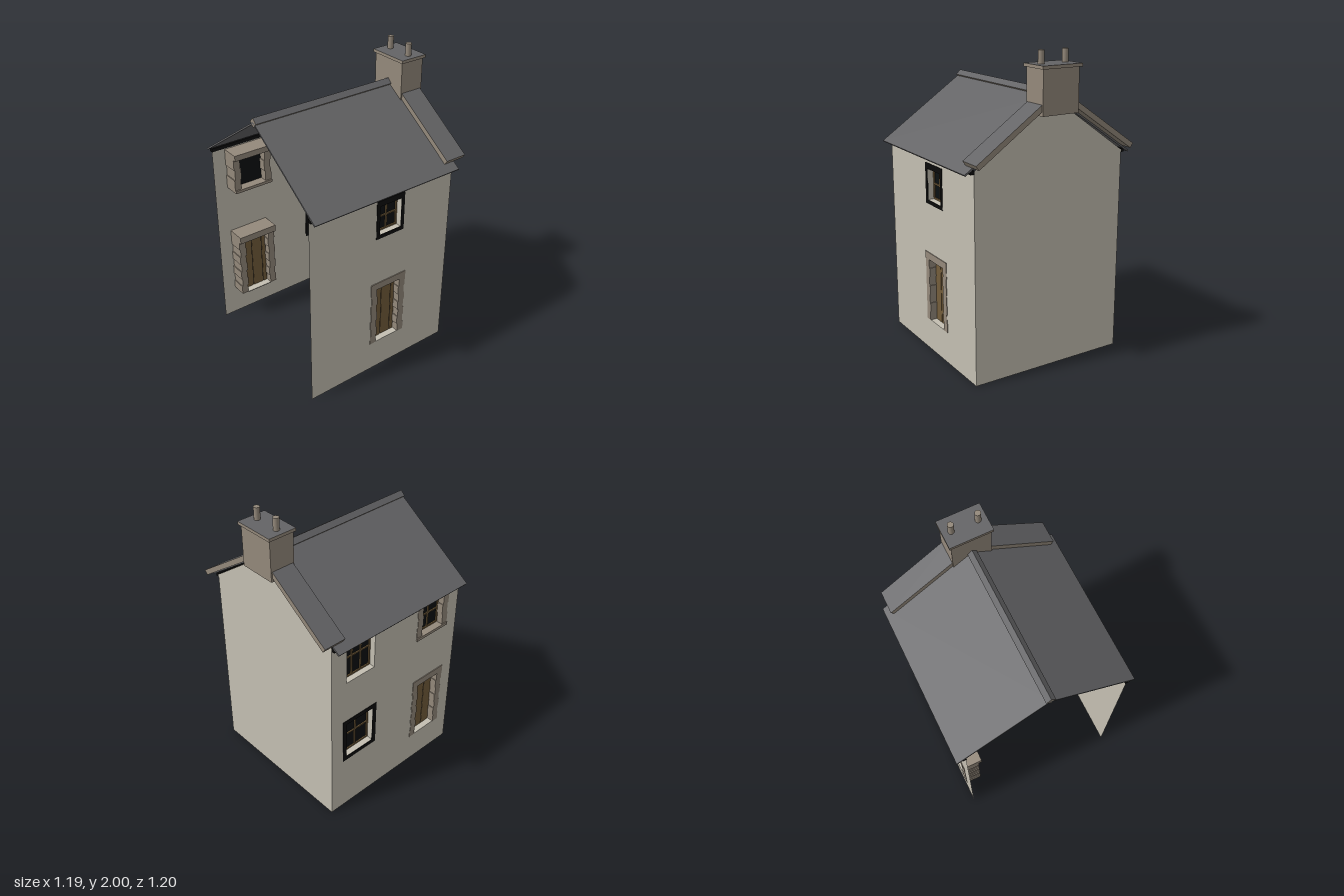
import * as THREE from 'three';

const mat = (name, color, side = THREE.FrontSide) => {
  const m = new THREE.MeshStandardMaterial({ color, side });
  m.name = name;
  return m;
};

export function createModel() {
  const render = mat('render', 0xc4bfb2, THREE.DoubleSide);
  const stone = mat('stone', 0x94897b);
  const slate = mat('slate', 0x646466);
  const wood = mat('wood', 0x735d3b);
  const black = mat('black', 0x0b0b0b);
  const glass = mat('glass', 0x0b1012);
  // box faces: +x -x +y -y +z -z
  const slateTopped = [stone, stone, slate, stone, stone, stone];

  const house = new THREE.Group();
  house.name = 'house';
  const X = 0.535;

  const add = (parent, name, geo, material) => {
    const m = new THREE.Mesh(geo, material);
    m.name = name;
    parent.add(m);
    return m;
  };
  // box given by its limits
  const box = (parent, name, [x0, x1], [y0, y1], [z0, z1], material) => {
    const m = add(parent, name, new THREE.BoxGeometry(Math.abs(x1 - x0), y1 - y0, z1 - z0), material);
    m.position.set((x0 + x1) / 2, (y0 + y1) / 2, (z0 + z1) / 2);
    return m;
  };
  const group = name => {
    const g = new THREE.Group();
    g.name = name;
    house.add(g);
    return g;
  };
  const rect = (path, [z0, z1], [y0, y1]) => {
    path.moveTo(z0, y0); path.lineTo(z1, y0); path.lineTo(z1, y1); path.lineTo(z0, y1); path.closePath();
    return path;
  };

  // side wall sheet with holes for its openings
  const sideWall = (s, openings) => {
    const shape = rect(new THREE.Shape(), [-0.5, 0.6], [0, 1.35]);
    for (const [z, y] of openings) shape.holes.push(rect(new THREE.Path(), z, y));
    const m = add(house, s > 0 ? 'leftWall' : 'rightWall', new THREE.ShapeGeometry(shape), render);
    m.rotation.y = -Math.PI / 2;
    m.position.x = s * X;
  };

  // glazing with a grid of bars, set back in the wall
  const glazing = (g, s, z, y, cols, rows) => {
    box(g, 'pane', [s * 0.484, s * 0.488], y, z, glass);
    const t = 0.005, bar = [s * 0.488, s * 0.496];
    for (let i = 0; i <= cols; i++) {
      const c = z[0] + t + (z[1] - z[0] - 2 * t) * i / cols;
      box(g, 'verticalBar', bar, y, [c - t, c + t], wood);
    }
    for (let i = 0; i <= rows; i++) {
      const c = y[0] + t + (y[1] - y[0] - 2 * t) * i / rows;
      box(g, 'horizontalBar', bar, [c - t, c + t], z, wood);
    }
  };

  // plain window: rendered reveal, glazing and optional painted surround
  const plainWindow = (name, s, z, y, cols, rows, surround) => {
    const g = group(name), d = [s * 0.484, s * X], t = 0.004;
    box(g, 'revealBottom', d, [y[0] - t, y[0]], [z[0] - t, z[1] + t], render);
    box(g, 'revealTop', d, [y[1], y[1] + t], [z[0] - t, z[1] + t], render);
    box(g, 'revealBack', d, y, [z[0] - t, z[0]], render);
    box(g, 'revealFront', d, y, [z[1], z[1] + t], render);
    glazing(g, s, z, y, cols, rows);
    if (surround) {
      const [sz, sy] = surround;
      const shape = rect(new THREE.Shape(), sz, sy);
      shape.holes.push(rect(new THREE.Path(), z, y));
      const geo = new THREE.ExtrudeGeometry(shape, { depth: 0.006, bevelEnabled: false });
      const m = add(g, 'paintedSurround', geo, black);
      m.rotation.y = -Math.PI / 2;
      m.position.x = s * X + 0.003;
    }
  };

  // stone jambs of alternating blocks, with a lintel on top
  const stoneSurround = (g, s, z, y, courses, lintelHeight) => {
    const h = (y[1] - y[0]) / courses, w = 0.047;
    for (let i = 0; i < courses; i++) {
      const j = i % 2 ? 0.006 : 0;
      const yy = [y[0] + i * h, y[0] + (i + 1) * h];
      box(g, 'jambBlock', [s * 0.43, s * 0.538], yy, [z[0] - w + j, z[0] + j], stone);
      box(g, 'jambBlock', [s * 0.43, s * 0.538], yy, [z[1] - j, z[1] + w - j], stone);
    }
    box(g, 'lintel', [s * 0.408, s * 0.54], [y[1], y[1] + lintelHeight], [z[0] - w, z[1] + w], stone);
  };

  const door = (name, s, z, y) => {
    const g = group(name);
    stoneSurround(g, s, z, y, 7, 0.048);
    box(g, 'threshold', [s * 0.43, s * X], [y[0] - 0.006, y[0]], [z[0], z[1]], render);
    // three planks with dark gaps
    const edges = [0, 0.4, 0.82, 1].map(f => z[0] + (z[1] - z[0]) * (1 - f)).reverse();
    for (let i = 0; i < 3; i++)
      box(g, 'plank', [s * 0.478, s * 0.492], y, [edges[i] + 0.003, edges[i + 1] - 0.003], wood);
    box(g, 'plankGaps', [s * 0.481, s * 0.489], y, z, black);
  };

  // walls
  const leftDoor = [[-0.1, 0.085], [0.212, 0.637]];
  const leftWindow = [[-0.09, 0.078], [1.04, 1.242]];
  const rightDoor = [[0.27, 0.46], [0.212, 0.645]];
  const stoneWindow = [[0.27, 0.46], [1.055, 1.28]];
  const rightUpper = [[-0.38, -0.15], [1.03, 1.32]];
  const rightLower = [[-0.375, -0.15], [0.43, 0.7]];
  sideWall(1, [leftDoor, leftWindow]);
  sideWall(-1, [rightDoor, stoneWindow, rightUpper, rightLower]);
  const gable = new THREE.Shape();
  gable.moveTo(-X, 0); gable.lineTo(X, 0); gable.lineTo(X, 1.345);
  gable.lineTo(0, 1.725); gable.lineTo(-X, 1.345); gable.closePath();
  add(house, 'backWall', new THREE.ShapeGeometry(gable), render).position.z = -0.5;

  // doors and windows
  door('leftDoor', 1, ...leftDoor);
  door('rightDoor', -1, ...rightDoor);
  plainWindow('leftWindow', 1, ...leftWindow, 2, 2, [[-0.114, 0.103], [1.015, 1.28]]);
  plainWindow('rightUpperWindow', -1, ...rightUpper, 3, 2);
  plainWindow('rightLowerWindow', -1, ...rightLower, 2, 2, [[-0.405, -0.12], [0.4, 0.73]]);
  const sw = group('stoneWindow');
  stoneSurround(sw, -1, ...stoneWindow, 3, 0.04);
  box(sw, 'sill', [-0.42, -0.545], [1.035, 1.055], [0.223, 0.507], stone);
  glazing(sw, -1, ...stoneWindow, 2, 2);

  // roof slopes, gutters and gable copings
  const slope = Math.atan(0.685);
  for (const s of [1, -1]) {
    const side = s > 0 ? 'left' : 'right';
    const sh = new THREE.Shape();
    sh.moveTo(0, 1.74); sh.lineTo(s * 0.597, 1.333); sh.lineTo(s * 0.591, 1.324); sh.lineTo(0, 1.728);
    sh.closePath();
    const roof = new THREE.ExtrudeGeometry(sh, { depth: 1.1, bevelEnabled: false });
    add(house, side + 'Roof', roof, slate).position.z = -0.5;
    box(house, side + 'Gutter', [s * 0.531, s * 0.558], [1.328, 1.352], [-0.5, 0.6], black);

    const len = 0.66, t = 0.034;
    const cop = add(house, side + 'Coping', new THREE.BoxGeometry(len, t, 0.153), slateTopped);
    const end = [0.546, 1.368];
    cop.position.set(
      s * (end[0] - Math.cos(slope) * len / 2 + Math.sin(slope) * t / 2),
      end[1] + Math.sin(slope) * len / 2 + Math.cos(slope) * t / 2, -0.5);
    cop.rotation.z = -s * slope;
  }

  // ridge
  const ridge = add(house, 'ridge', new THREE.BoxGeometry(0.043, 0.043, 1.02),
    [slate, stone, slate, stone, stone, stone]);
  ridge.position.set(0, 1.735, 0.09);
  ridge.rotation.z = Math.PI / 4;

  // chimney
  const chimney = group('chimney');
  box(chimney, 'stack', [-0.127, 0.127], [1.63, 1.9], [-0.585, -0.415], stone);
  box(chimney, 'cap', [-0.14, 0.14], [1.9, 1.92], [-0.598, -0.404], slateTopped);
  for (const s of [1, -1])
    add(chimney, 'pot', new THREE.CylinderGeometry(0.019, 0.019, 0.08, 20), stone)
      .position.set(s * 0.085, 1.96, -0.5);

  return house;
}
